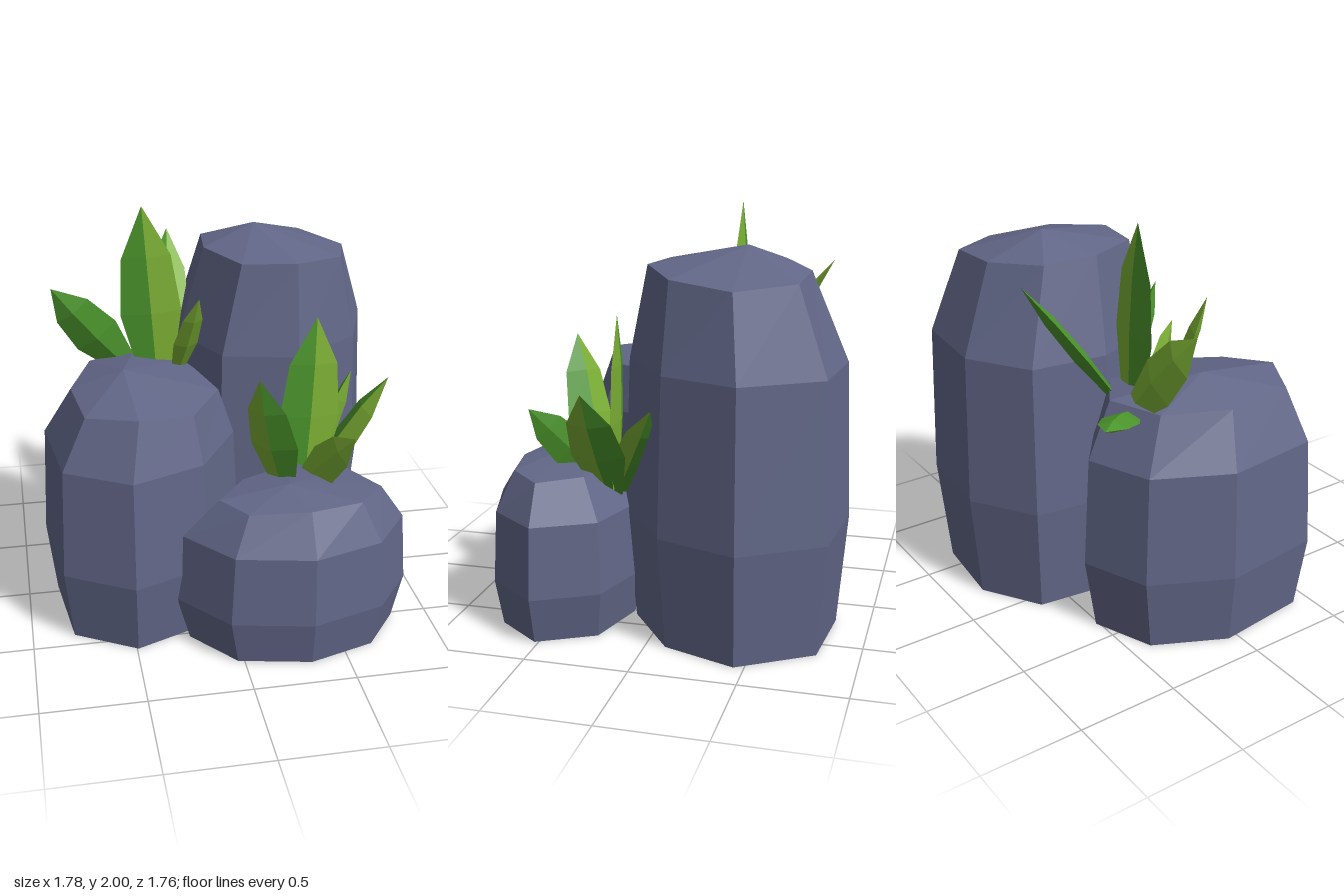
import * as THREE from 'three';

const rockMat = new THREE.MeshStandardMaterial({ color: 0x626788, flatShading: true });
const greenMat = new THREE.MeshStandardMaterial({ color: 0x4c962c, flatShading: true });
const limeMat = new THREE.MeshStandardMaterial({ color: 0x7cb035, flatShading: true });
rockMat.name = 'slate blue';
greenMat.name = 'leaf green';
limeMat.name = 'lime green';

const V = (x, y, z) => new THREE.Vector3(x, y, z);

// Skin equal rings (running +x to +z to -x) from bottom to top; one group per side
function loft(rings, sideMaterial) {
  const pos = [], geo = new THREE.BufferGeometry(), n = rings[0].length;
  const tri = (a, b, c) => {
    if (new THREE.Triangle(a, b, c).getArea() < 1e-7) return;
    for (const p of [a, b, c]) pos.push(p.x, p.y, p.z);
  };
  for (let i = 0; i < n; i++) {
    const j = (i + 1) % n, start = pos.length / 3;
    for (let k = 0; k + 1 < rings.length; k++) {
      const lo = rings[k], up = rings[k + 1];
      tri(lo[j], lo[i], up[i]);
      tri(lo[j], up[i], up[j]);
    }
    geo.addGroup(start, pos.length / 3 - start, sideMaterial(i));
  }
  geo.setAttribute('position', new THREE.Float32BufferAttribute(pos, 3));
  geo.computeVertexNormals();
  return geo;
}

// Faceted boulder: widest outline, scaled wall levels, shoulder ring and peak
function rock(name, outline, levels, shoulder, peak) {
  const c = outline.reduce((s, [x, z]) => s.add(V(x / 8, 0, z / 8)), V(0, 0, 0));
  const point = (p) => outline.map(() => p);
  const walls = levels.map(([y, s]) =>
    outline.map(([x, z]) => V(c.x + (x - c.x) * s, y, c.z + (z - c.z) * s)));
  const rings = [point(c), ...walls, shoulder.map((p) => V(...p)), point(V(...peak))];
  const mesh = new THREE.Mesh(loft(rings, () => 0), [rockMat]);
  mesh.name = name;
  return mesh;
}

// Pointed leaf with a diamond section; `lime` lists the sides in the lighter green
function leaf(name, base, tip, width, across, lime = [0, 3], thick = 0.05) {
  const b = V(...base), axis = V(...tip).sub(b), dir = axis.clone().normalize();
  const side = V(...across);
  side.addScaledVector(dir, -side.dot(dir)).normalize();
  const normal = side.clone().cross(dir);
  const rings = [[0, 0], [0, 0.5], [0.4, 1], [0.72, 0.8], [1, 0]].map(([t, w]) => {
    const c = b.clone().addScaledVector(axis, t);
    const s = side.clone().multiplyScalar(w * width / 2);
    const n = normal.clone().multiplyScalar(w * thick / 2);
    return [c.clone().add(s), c.clone().add(n), c.clone().sub(s), c.clone().sub(n)];
  });
  const mesh = new THREE.Mesh(loft(rings, (i) => (lime.includes(i) ? 1 : 0)), [greenMat, limeMat]);
  mesh.name = name;
  return mesh;
}

export function createModel() {
  const model = new THREE.Group();
  model.name = 'rocksWithLeaves';

  // Boulders
  model.add(
    rock('tallRock',
      [[0.20, -0.88], [0.65, -0.84], [0.89, -0.46], [0.75, -0.07], [0.39, 0.19], [0, 0.10], [-0.17, -0.28], [-0.12, -0.68]],
      [[0, 0.91], [0.55, 1], [1.31, 0.95]],
      [[0.26, 1.74, -0.68], [0.57, 1.72, -0.67], [0.74, 1.70, -0.41], [0.65, 1.73, -0.10],
        [0.39, 1.76, 0.07], [0.12, 1.76, 0.03], [-0.02, 1.77, -0.25], [0.01, 1.76, -0.52]],
      [0.26, 1.85, -0.38]),
    rock('leftRock',
      [[-0.37, -0.57], [-0.05, -0.32], [0.09, 0.13], [-0.13, 0.49], [-0.50, 0.64], [-0.83, 0.45], [-0.89, -0.06], [-0.70, -0.44]],
      [[0, 0.91], [0.37, 1], [0.92, 0.95]],
      [[-0.36, 1.19, -0.41], [-0.12, 1.17, -0.25], [-0.01, 1.15, 0.11], [-0.18, 1.15, 0.40],
        [-0.45, 1.19, 0.50], [-0.69, 1.17, 0.38], [-0.73, 1.17, 0.02], [-0.61, 1.18, -0.30]],
      [-0.47, 1.26, 0.04]),
    rock('frontRock',
      [[0.35, 0.12], [0.71, 0.22], [0.87, 0.52], [0.68, 0.77], [0.32, 0.88], [-0.07, 0.80], [-0.29, 0.53], [0.02, 0.25]],
      [[0, 0.90], [0.23, 1], [0.58, 0.95]],
      [[0.33, 0.78, 0.26], [0.60, 0.77, 0.33], [0.72, 0.76, 0.53], [0.58, 0.77, 0.69],
        [0.32, 0.77, 0.74], [0.03, 0.76, 0.70], [-0.08, 0.76, 0.53], [0.07, 0.77, 0.36]],
      [0.26, 0.81, 0.52]));

  // Leaves behind the left rock's top
  const upper = new THREE.Group();
  upper.name = 'upperLeaves';
  upper.add(
    leaf('tallLeaf', [-0.27, 1.08, -0.23], [-0.33, 2.0, -0.23], 0.31, [1, 0, 0.05]),
    leaf('outerLeaf', [-0.42, 1.14, -0.32], [-0.79, 1.60, -0.24], 0.25, [0.7, 0.6, 0.1], [2, 3], 0.08),
    leaf('backLeaf', [-0.20, 1.10, -0.27], [-0.14, 1.74, -0.73], 0.23, [1, 0, 0.1], [0, 3], 0.07),
    leaf('lowLeaf', [-0.43, 1.13, -0.34], [-0.64, 1.20, -0.62], 0.18, [0.8, 0, -0.6], [2, 3], 0.07),
    leaf('innerLeaf', [-0.17, 1.13, -0.20], [-0.09, 1.60, 0.04], 0.13, [1, 0, -0.2], [0, 1], 0.05));

  // Leaves behind the front rock's top
  const lower = new THREE.Group();
  lower.name = 'lowerLeaves';
  lower.add(
    leaf('centreLeaf', [0.41, 0.68, 0.23], [0.46, 1.53, 0.20], 0.31, [1, 0, -0.1]),
    leaf('frontLeaf', [0.27, 0.72, 0.37], [0.11, 1.36, 0.52], 0.25, [-0.8, 0, -0.6], [0, 3], 0.08),
    leaf('sideLeaf', [0.43, 0.64, 0.26], [0.81, 1.22, 0.27], 0.27, [0, 0, 1], [0, 3], 0.07),
    leaf('rearLeaf', [0.42, 0.66, 0.22], [0.71, 1.14, -0.03], 0.17, [0.4, 0.4, 0.7], [0, 3], 0.06),
    leaf('shortLeaf', [0.38, 0.72, 0.33], [0.55, 1.07, 0.62], 0.20, [-0.2, 0.8, -0.5], [2, 3], 0.04));

  model.add(upper, lower);
  return model;
}
